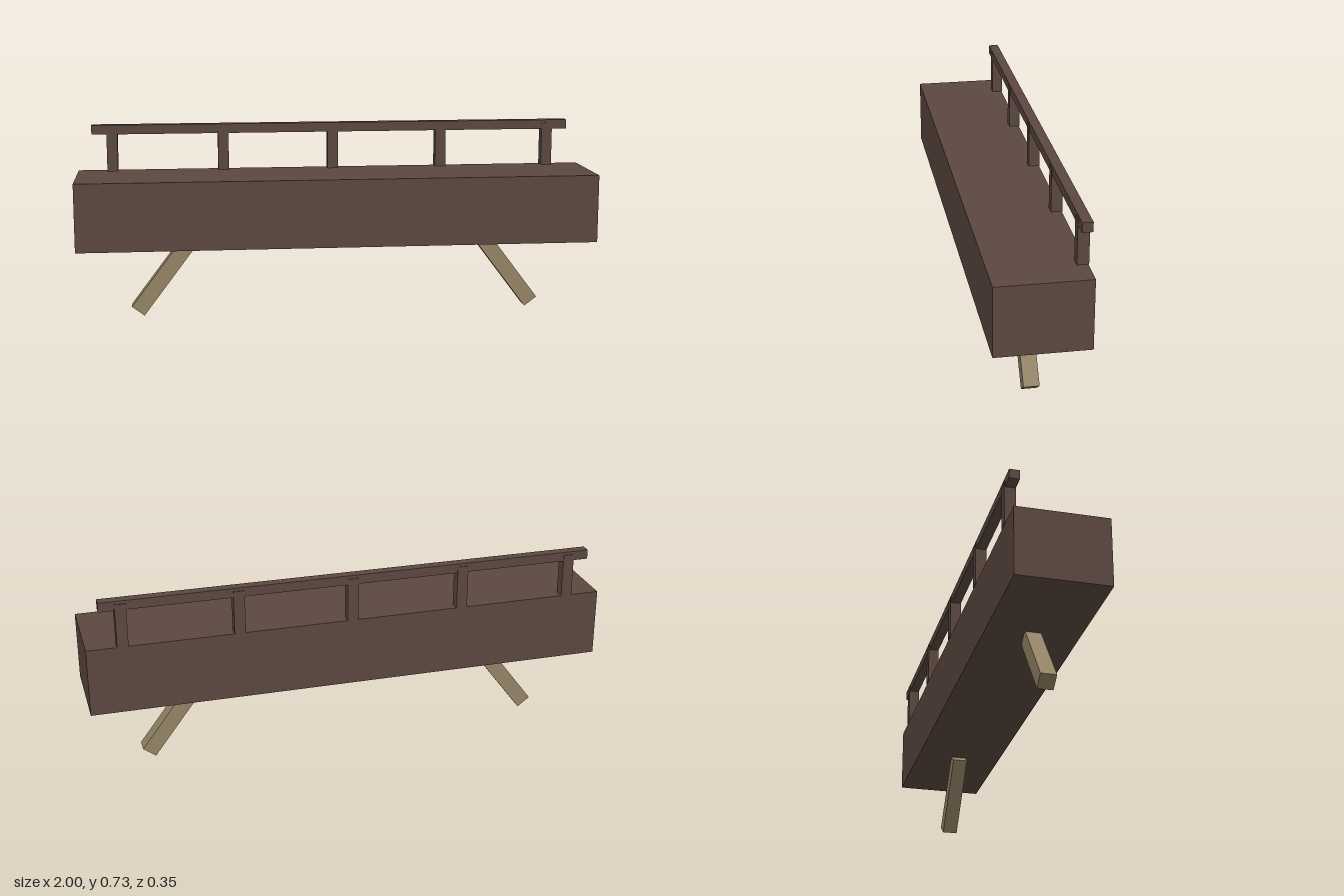
import * as THREE from 'three';

export function createModel() {
  const model = new THREE.Group();
  const darkWood = new THREE.MeshStandardMaterial({ color: 0x5b4740 });
  darkWood.name = 'dark brown wood';
  const paleWood = new THREE.MeshStandardMaterial({ color: 0x938365 });
  paleWood.name = 'pale tan wood';

  function box(name, material, [w, h, d], [x, y, z]) {
    const mesh = new THREE.Mesh(new THREE.BoxGeometry(w, h, d), material);
    mesh.name = name;
    mesh.position.set(x, y, z);
    model.add(mesh);
    return mesh;
  }

  // Solid beam forming the body
  box('body', darkWood, [2, 0.262, 0.342], [0, 0.414, 0.002]);

  // Railing along the back edge
  box('rail', darkWood, [1.89, 0.036, 0.038], [0, 0.708, -0.15]);
  for (let i = -2; i <= 2; i++) {
    box('railPost', darkWood, [0.042, 0.17, 0.042], [i * 0.433, 0.629, -0.151]);
  }

  // Splayed legs, mirrored left and right
  for (const side of [1, -1]) {
    const leg = box(side > 0 ? 'leftLeg' : 'rightLeg', paleWood, [0.06, 0.322, 0.058], [side * 0.679, 0.147, 0.001]);
    leg.rotation.z = side * 0.645;
  }

  return model;
}
